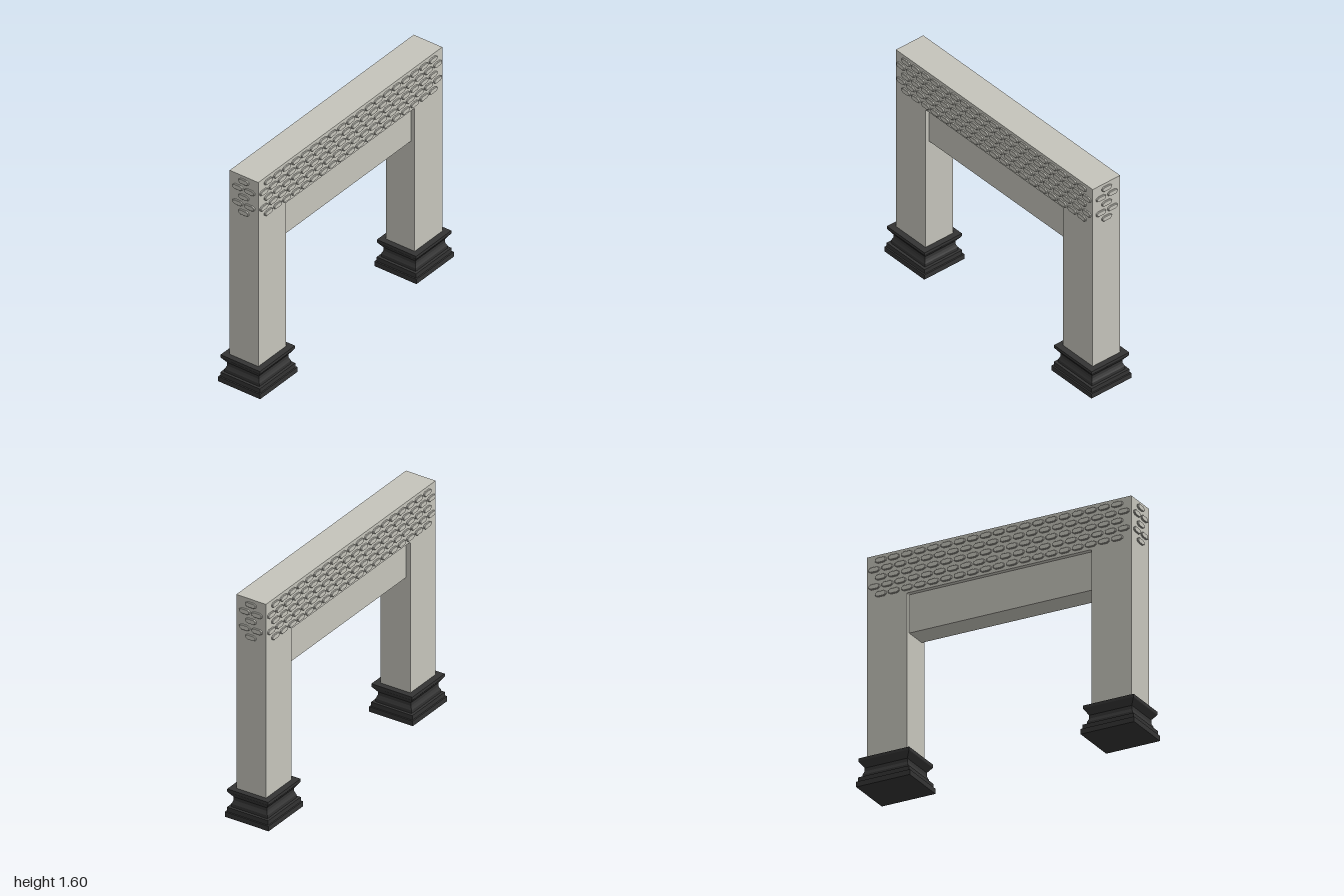
import * as THREE from 'three';

const COL_IN = 0.665, COL_OUT = 0.95, DEPTH = 0.113, BASE_TOP = 0.2, TOP = 1.6, LINTEL = 1.29;

// Rectangular moulding: rings of [offset, y] around a half-size, flat faced and capped
function moulding(halfX, halfZ, profile) {
  const pos = [];
  const ring = ([o, y]) => [[1, 1], [1, -1], [-1, -1], [-1, 1]]
    .map(([sx, sz]) => [sx * (halfX + o), y, sz * (halfZ + o)]);
  const quad = (a, b, c, d) => pos.push(...a, ...b, ...c, ...a, ...c, ...d);
  const rings = profile.map(ring);
  for (let i = 0; i < rings.length - 1; i++) {
    for (let k = 0; k < 4; k++) {
      const n = (k + 1) % 4;
      quad(rings[i][k], rings[i][n], rings[i + 1][n], rings[i + 1][k]);
    }
  }
  const b = rings[0], t = rings[rings.length - 1];
  quad(b[3], b[2], b[1], b[0]);
  quad(t[0], t[1], t[2], t[3]);
  const g = new THREE.BufferGeometry();
  g.setAttribute('position', new THREE.Float32BufferAttribute(pos, 3));
  g.computeVertexNormals();
  return g;
}

export function createModel() {
  const model = new THREE.Group();
  model.name = 'fireplaceSurround';

  const stone = new THREE.MeshStandardMaterial({ color: 0xc5c4bb });
  stone.name = 'paleStone';
  const dark = new THREE.MeshStandardMaterial({ color: 0x333333 });
  dark.name = 'darkPlinth';

  const add = (parent, geometry, material, name) => {
    const mesh = new THREE.Mesh(geometry, material);
    mesh.name = name;
    parent.add(mesh);
    return mesh;
  };

  // Legs and lintel in one piece, with slightly eased inner corners
  const r = 0.01;
  const s = new THREE.Shape();
  s.moveTo(-COL_OUT, BASE_TOP - 0.01);
  s.lineTo(-COL_IN, BASE_TOP - 0.01);
  s.lineTo(-COL_IN, LINTEL - r);
  s.quadraticCurveTo(-COL_IN, LINTEL, -COL_IN + r, LINTEL);
  s.lineTo(COL_IN - r, LINTEL);
  s.quadraticCurveTo(COL_IN, LINTEL, COL_IN, LINTEL - r);
  s.lineTo(COL_IN, BASE_TOP - 0.01);
  s.lineTo(COL_OUT, BASE_TOP - 0.01);
  s.lineTo(COL_OUT, TOP);
  s.lineTo(-COL_OUT, TOP);
  const frame = new THREE.ExtrudeGeometry(s, { depth: 2 * DEPTH, bevelEnabled: false, curveSegments: 4 });
  frame.translate(0, 0, -DEPTH);
  add(model, frame, stone, 'frame');

  // Recessed panel below the lintel
  const panel = new THREE.BoxGeometry(2 * COL_IN + 0.01, LINTEL - 1.025 + 0.01, 0.164);
  add(model, panel, stone, 'recessedPanel').position.y = (LINTEL + 0.01 + 1.025) / 2;

  // Stepped plinths with a flared cap
  const plinth = moulding(0.14, 0.113, [
    [0.053, 0], [0.053, 0.036], [0.043, 0.036], [0.043, 0.068], [0.024, 0.068], [0.024, 0.09],
    [0.019, 0.1], [0.013, 0.115], [0.013, 0.138], [0.04, 0.176], [0.042, 0.18], [0.042, 0.2],
  ]);
  for (const side of [-1, 1]) {
    add(model, plinth, dark, side > 0 ? 'leftPlinth' : 'rightPlinth').position.x = side * 0.807;
  }

  // Low carved studs: elongated octagons with a small bevel
  const w = 0.036, h = 0.015, c = 0.014;
  const oval = new THREE.Shape([
    [-w, -h + c * 0.6], [-w + c, -h], [w - c, -h], [w, -h + c * 0.6],
    [w, h - c * 0.6], [w - c, h], [-w + c, h], [-w, h - c * 0.6],
  ].map(([x, y]) => new THREE.Vector2(x, y)));
  const stud = new THREE.ExtrudeGeometry(oval, {
    depth: 0.008, bevelEnabled: true, bevelThickness: 0.003, bevelSize: 0.003, bevelSegments: 1,
  });

  // Five staggered rows on each face of the lintel
  const pitch = 0.0944;
  function studField(name, longCount, angle, distance) {
    const field = new THREE.Group();
    field.name = name;
    for (let row = 0; row < 5; row++) {
      const count = row % 2 ? longCount : longCount - 1;
      for (let i = 0; i < count; i++) {
        add(field, stud, stone, 'stud')
          .position.set((i - (count - 1) / 2) * pitch, 1.56 - row * 0.0585, distance);
      }
    }
    field.rotation.y = angle;
    model.add(field);
  }
  studField('frontStuds', 20, 0, DEPTH);
  studField('backStuds', 20, Math.PI, DEPTH);
  studField('leftStuds', 2, Math.PI / 2, COL_OUT);
  studField('rightStuds', 2, -Math.PI / 2, COL_OUT);

  return model;
}
